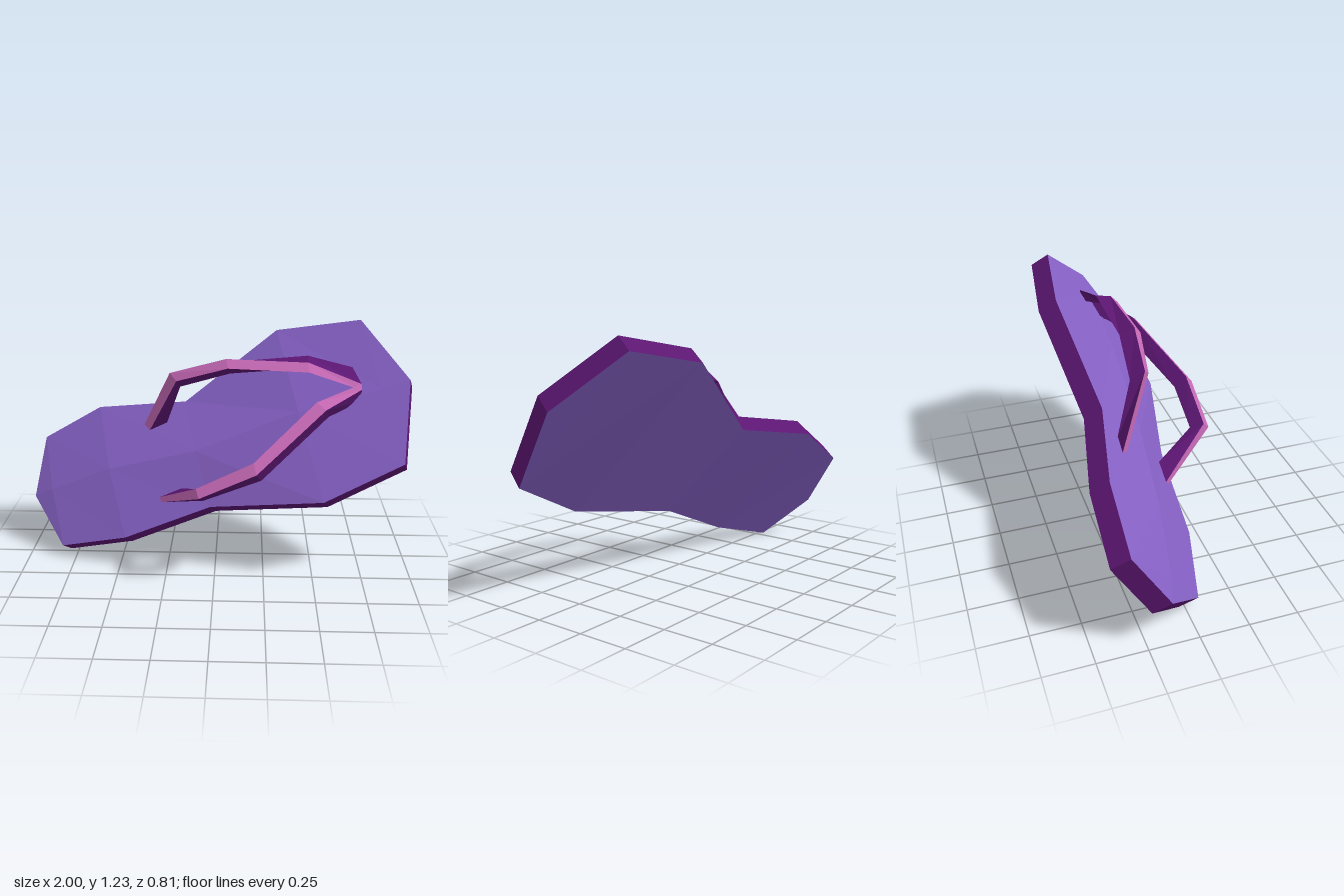
import * as THREE from 'three';

const mat = (color) => new THREE.MeshStandardMaterial({ color, flatShading: true });
const soleMat = mat(0x8560c4), sideMat = mat(0x5c1672), trimMat = mat(0xc468b4);

// Mesh from four-cornered faces (corners counter-clockwise from outside)
function quadMesh(name, quads, material) {
  const pos = [];
  for (const [a, b, c, d] of quads) {
    if (a !== b) pos.push(...a, ...b, ...c);
    if (c !== d) pos.push(...a, ...c, ...d);
  }
  const geo = new THREE.BufferGeometry();
  geo.setAttribute('position', new THREE.Float32BufferAttribute(pos, 3));
  geo.computeVertexNormals();
  const mesh = new THREE.Mesh(geo, material);
  mesh.name = name;
  return mesh;
}

const NORMAL = [-0.277, 0.555, 0.786]; // direction the footbed faces
const THICK = [0.028, -0.061, -0.086]; // from footbed to underside
const add = (p, v, s = 1) => p.map((c, i) => c + v[i] * s);
const mid = (a, b) => a.map((c, i) => (c + b[i]) / 2);

function makeSole() {
  const heel = [-1, 0.26, -0.14], toe = [0.97, 0.98, 0];
  // Matching points on both long edges, heel to toe
  const upper = [heel, [-0.96, 0.54, -0.32], [-0.65, 0.72, -0.32], [-0.17, 0.79, -0.215],
    [0.31, 1.16, -0.31], [0.74, 1.23, -0.25], toe];
  const lower = [heel, [-0.82, 0.06, 0.06], [-0.47, 0.155, 0.145], [-0.025, 0.34, 0.15],
    [0.54, 0.43, 0.28], [0.93, 0.62, 0.235], toe];
  // Slightly raised centre line
  const crown = [0, 0.025, 0.04, 0.04, 0.03, 0.015, 0];
  const shift = (p) => add(p, THICK);
  const ridge = upper.map((p, i) => (p === lower[i] ? p : add(mid(p, lower[i]), NORMAL, crown[i])));
  const upperB = upper.map(shift);
  const lowerB = lower.map((p, i) => (p === upper[i] ? upperB[i] : shift(p)));

  const top = [], bottom = [], wall = [];
  for (let i = 0; i < upper.length - 1; i++) {
    const j = i + 1;
    top.push([upper[i], ridge[i], ridge[j], upper[j]], [ridge[i], lower[i], lower[j], ridge[j]]);
    bottom.push([upperB[i], upperB[j], lowerB[j], lowerB[i]]);
    wall.push([upper[i], upper[j], upperB[j], upperB[i]], [lower[j], lower[i], lowerB[i], lowerB[j]]);
  }
  const sole = new THREE.Group();
  sole.name = 'sole';
  sole.add(quadMesh('footbed', top, soleMat), quadMesh('underside', bottom, soleMat),
    quadMesh('soleEdge', wall, sideMat));
  return sole;
}

// Band with four-cornered sections: two top-edge corners, then two lower corners
function makeStrap(name, sections) {
  const trim = [], band = [];
  for (let s = 0; s < sections.length - 1; s++) {
    const a = sections[s], b = sections[s + 1];
    for (let k = 0; k < 4; k++) {
      const n = (k + 1) % 4;
      (k === 0 ? trim : band).push([a[k], a[n], b[n], b[k]]);
    }
  }
  const last = sections[sections.length - 1];
  band.push([...sections[0]].reverse(), last);
  const strap = new THREE.Group();
  strap.name = name;
  strap.add(quadMesh(name + 'Top', trim, trimMat), quadMesh(name + 'Band', band, sideMat));
  return strap;
}

export function createModel() {
  const model = new THREE.Group();
  model.name = 'flipFlop';
  model.add(makeSole());
  model.add(makeStrap('backStrap', [
    [[-0.39, 0.67, -0.18], [-0.36, 0.645, -0.15], [-0.27, 0.68, -0.16], [-0.3, 0.69, -0.18]],
    [[-0.235, 1.0, -0.02], [-0.2, 0.965, 0.01], [-0.185, 0.92, -0.05], [-0.22, 0.955, -0.09]],
    [[0.05, 1.085, 0.02], [0.06, 1.045, 0.055], [0.07, 1.0, -0.02], [0.06, 1.05, -0.055]],
    [[0.46, 1.07, 0.02], [0.46, 1.03, 0.058], [0.47, 1.03, -0.03], [0.46, 1.085, -0.062]],
    [[0.73, 0.955, -0.01], [0.71, 0.935, 0.01], [0.7, 0.95, -0.08], [0.69, 1.02, -0.09]],
  ]));
  model.add(makeStrap('frontStrap', [
    [[-0.29, 0.36, 0.08], [-0.28, 0.34, 0.1], [-0.18, 0.37, 0.1], [-0.18, 0.41, 0.08]],
    [[-0.085, 0.53, 0.36], [-0.07, 0.492, 0.395], [-0.05, 0.455, 0.33], [-0.055, 0.5, 0.295]],
    [[0.19, 0.665, 0.36], [0.205, 0.62, 0.4], [0.23, 0.565, 0.33], [0.19, 0.61, 0.295]],
    [[0.495, 0.907, 0.155], [0.54, 0.875, 0.182], [0.56, 0.82, 0.115], [0.515, 0.85, 0.085]],
    [[0.73, 0.955, -0.01], [0.73, 0.93, 0.01], [0.735, 0.86, -0.03], [0.735, 0.9, -0.07]],
  ]));
  return model;
}
